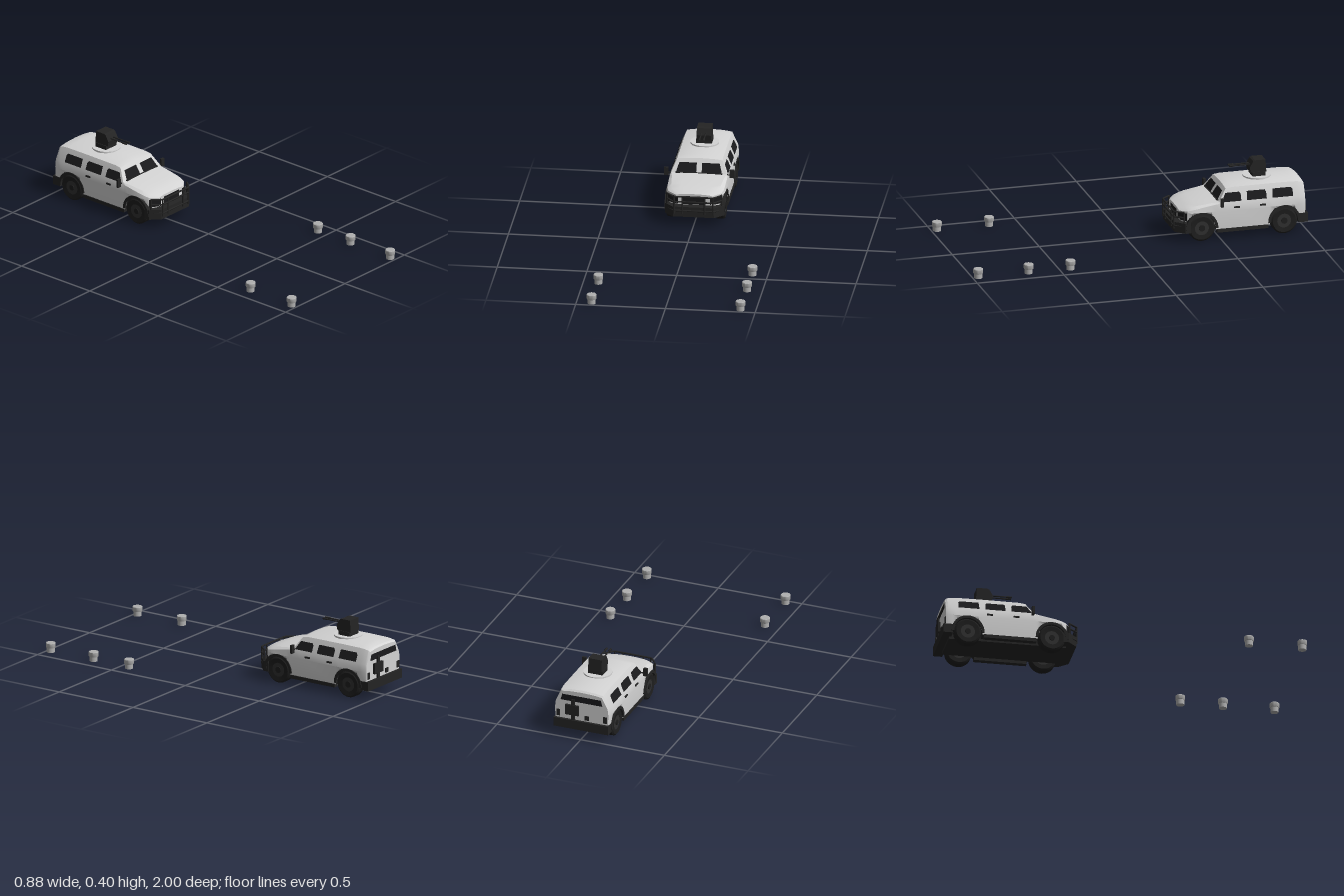
import * as THREE from 'three';
import { toCreasedNormals } from 'three/addons/utils/BufferGeometryUtils.js';

const mat = (name, color, side = THREE.FrontSide) => {
  const m = new THREE.MeshStandardMaterial({ color, side });
  m.name = name;
  return m;
};

export function createModel() {
  const paint = mat('bodyPaint', 0xd4d4d4);
  const trim = mat('blackTrim', 0x242424);
  const glass = mat('darkGlass', 0x1a1a1c, THREE.DoubleSide);
  const rubber = mat('tyreRubber', 0x1e1e1e);
  const hubMetal = mat('hubMetal', 0x303030);
  const postGrey = mat('postGrey', 0xb0b0b0);
  const root = new THREE.Group();
  const car = new THREE.Group();
  car.name = 'armouredCar';
  root.add(car);

  const add = (name, geo, material, x = 0, y = 0, z = 0, parent = car) => {
    const m = new THREE.Mesh(geo, material);
    m.name = name;
    m.position.set(x, y, z);
    parent.add(m);
    return m;
  };
  // Box given by its minimum and maximum corners
  const box = (name, material, a, b) => add(name,
    new THREE.BoxGeometry(b[0] - a[0], b[1] - a[1], b[2] - a[2]), material,
    (a[0] + b[0]) / 2, (a[1] + b[1]) / 2, (a[2] + b[2]) / 2);
  // Flat convex panel from its corners
  const panel = (name, pts, material = glass) => {
    const g = new THREE.BufferGeometry();
    g.setAttribute('position', new THREE.Float32BufferAttribute(pts.flat(), 3));
    const idx = [];
    for (let i = 1; i < pts.length - 1; i++) idx.push(0, i, i + 1);
    g.setIndex(idx);
    g.computeVertexNormals();
    return add(name, g, material);
  };
  const tube = (name, pts, r = 0.005) => {
    const path = new THREE.CurvePath();
    const v = pts.map(p => new THREE.Vector3(...p));
    for (let i = 1; i < v.length; i++) path.add(new THREE.LineCurve3(v[i - 1], v[i]));
    return add(name, new THREE.TubeGeometry(path, 24, r, 8), trim);
  };

  // Body shell: z, bottom y, waist x, shoulder x, y, roof edge x, y, centre y
  const stations = [
    [-0.275, 0.115, 0.10, 0.10, 0.170, 0.085, 0.174, 0.178],
    [-0.310, 0.108, 0.15, 0.147, 0.176, 0.125, 0.186, 0.191],
    [-0.335, 0.152, 0.160, 0.155, 0.182, 0.133, 0.193, 0.198],
    [-0.365, 0.160, 0.164, 0.159, 0.188, 0.138, 0.200, 0.204],
    [-0.445, 0.152, 0.165, 0.160, 0.202, 0.145, 0.211, 0.216],
    [-0.473, 0.060, 0.165, 0.160, 0.206, 0.150, 0.214, 0.219],
    [-0.490, 0.060, 0.165, 0.160, 0.208, 0.155, 0.217, 0.221],
    [-0.535, 0.060, 0.165, 0.160, 0.208, 0.127, 0.283, 0.291],
    [-0.570, 0.060, 0.165, 0.160, 0.208, 0.126, 0.288, 0.301],
    [-0.780, 0.060, 0.165, 0.160, 0.208, 0.126, 0.289, 0.304],
    [-0.805, 0.152, 0.165, 0.160, 0.208, 0.126, 0.289, 0.304],
    [-0.920, 0.152, 0.165, 0.160, 0.208, 0.126, 0.288, 0.302],
    [-0.947, 0.100, 0.165, 0.160, 0.208, 0.126, 0.286, 0.299],
    [-0.975, 0.100, 0.163, 0.158, 0.208, 0.125, 0.281, 0.292],
    [-0.985, 0.100, 0.160, 0.155, 0.208, 0.121, 0.274, 0.283],
  ];
  const pos = [], sides = [], under = [], N = 11;
  for (const [z, yb, xw, xs, ys, xr, yr, yc] of stations) {
    const half = [[xw - 0.005, yb], [xw, 0.165], [xs, ys], [xr, yr], [xr * 0.6, yr + (yc - yr) * 0.7]];
    const ring = [...half, [0, yc], ...half.map(([x, y]) => [-x, y]).reverse()];
    ring.forEach(([x, y]) => pos.push(x, y, z));
  }
  const last = (stations.length - 1) * N;
  for (let i = 0; i < stations.length - 1; i++) {
    for (let j = 0; j < N; j++) {
      const a = i * N + j, b = i * N + (j + 1) % N;
      (j === N - 1 ? under : sides).push(a, a + N, b, b, a + N, b + N);
    }
  }
  for (let j = 1; j < N - 1; j++) sides.push(0, j, j + 1, last, last + j + 1, last + j);
  const shell = new THREE.BufferGeometry();
  shell.setAttribute('position', new THREE.Float32BufferAttribute(pos, 3));
  shell.setIndex([...sides, ...under]);
  shell.addGroup(0, sides.length, 0);
  shell.addGroup(sides.length, under.length, 1);
  add('bodyShell', toCreasedNormals(shell, 0.45), [paint, trim]);

  // Underbody, bumpers and rear fittings
  box('chassis', trim, [-0.105, 0.045, -0.96], [0.105, 0.155, -0.30]);
  box('rearBumper', trim, [-0.163, 0.058, -1.0], [0.163, 0.11, -0.947]);
  const bump = new THREE.Shape([[-0.165, 0.325], [-0.165, 0.295], [-0.115, 0.245], [0.115, 0.245], [0.165, 0.295],
    [0.165, 0.325]].map(p => new THREE.Vector2(...p)));
  const bumperGeo = new THREE.ExtrudeGeometry(bump, { depth: 0.058, bevelEnabled: false });
  bumperGeo.rotateX(-Math.PI / 2).scale(1, 1, 1);
  // shape y maps to -z, extrusion maps to +y
  add('frontBumper', bumperGeo, trim, 0, 0.053, 0);
  box('rearCarrier', trim, [0.015, 0.14, -0.998], [0.095, 0.20, -0.984]);
  box('carrierHinge', trim, [0.04, 0.11, -0.995], [0.06, 0.235, -0.984]);
  box('rearLatch', trim, [-0.045, 0.12, -0.991], [-0.02, 0.145, -0.984]);
  panel('rearWindow', [[-0.125, 0.222, -0.988], [0.125, 0.222, -0.988], [0.115, 0.258, -0.988], [-0.115, 0.258, -0.988]]);

  // Grille and windscreen base
  panel('grille', [[-0.062, 0.118, -0.272], [0.062, 0.118, -0.272], [0.062, 0.166, -0.272], [-0.062, 0.166, -0.272]], glass);
  box('wiperStrip', trim, [-0.13, 0.216, -0.494], [0.13, 0.223, -0.484]);

  // Bull bar
  for (const y of [0.172, 0.142, 0.09]) {
    tube('bullBarRail', [[-0.152, y, -0.29], [-0.112, y, -0.242], [0.112, y, -0.242], [0.152, y, -0.29]]);
  }

  // Wheel parts shared by all four corners
  const tyreGeo = toCreasedNormals(new THREE.LatheGeometry([[0.04, -0.024], [0.066, -0.027], [0.075, -0.02],
    [0.075, 0.02], [0.066, 0.027], [0.04, 0.024]].map(p => new THREE.Vector2(...p)), 28), 0.6);
  tyreGeo.rotateZ(-Math.PI / 2);
  const rimGeo = new THREE.CylinderGeometry(0.042, 0.042, 0.044, 20).rotateZ(Math.PI / 2);
  const hubGeo = new THREE.CylinderGeometry(0.016, 0.018, 0.054, 12).rotateZ(Math.PI / 2);
  const arch = new THREE.Shape();
  arch.absarc(0, 0, 0.092, -0.05, Math.PI + 0.05, false);
  arch.absarc(0, 0, 0.077, Math.PI + 0.05, -0.05, true);
  const archGeo = new THREE.ExtrudeGeometry(arch, { depth: 0.03, bevelEnabled: false, curveSegments: 10 });
  archGeo.translate(0, 0, -0.015).rotateY(Math.PI / 2);

  // Window spans along each side: bottom start, top start, end
  const windows = [[-0.503, -0.530, -0.617], [-0.65, -0.653, -0.763], [-0.797, -0.80, -0.915]];
  const sideX = y => 0.1635 - (y - 0.208) * 0.435;

  for (const s of [-1, 1]) {
    for (const z of [-0.39, -0.863]) {
      const wheel = new THREE.Group();
      wheel.name = z > -0.5 ? 'frontWheel' : 'rearWheel';
      wheel.position.set(s * 0.136, 0.075, z);
      car.add(wheel);
      add('tyre', tyreGeo, rubber, 0, 0, 0, wheel);
      add('rim', rimGeo, hubMetal, 0, 0, 0, wheel);
      add('hub', hubGeo, rubber, 0, 0, 0, wheel);
      add('wheelArch', archGeo, trim, s * 0.153, 0.075, z);
    }
    for (const [b, t, e] of windows) {
      const lo = 0.215, hi = 0.262;
      panel('sideWindow', [[s * sideX(lo), lo, b], [s * sideX(lo), lo, e], [s * sideX(0.25), 0.25, e],
        [s * sideX(hi), hi, e + 0.008], [s * sideX(hi), hi, t]]);
    }
    for (const z of [-0.59, -0.74]) {
      add('doorHandle', new THREE.BoxGeometry(0.008, 0.009, 0.032), trim, s * 0.165, 0.182, z);
    }
    // Windscreen halves on the raked front
    const rake = (x, y) => [s * x, y, -0.485 - (y - 0.217) * 0.66];
    panel('windscreen', [rake(0.015, 0.222), rake(0.126, 0.222), rake(0.124, 0.235), rake(0.112, 0.269), rake(0.015, 0.269)]);
    // Headlight on the chamfered corner
    panel('headlight', [[s * 0.088, 0.12, -0.271], [s * 0.101, 0.12, -0.271], [s * 0.149, 0.12, -0.306],
      [s * 0.149, 0.165, -0.306], [s * 0.101, 0.165, -0.271], [s * 0.088, 0.165, -0.271]]);
    for (const [x, z] of [[0.062, -0.242], [0.108, -0.242], [0.152, -0.29]]) {
      tube('bullBarUpright', [[s * x, 0.072, z], [s * x, 0.175, z]]);
    }
    add('sideSkirt', new THREE.BoxGeometry(0.03, 0.02, 0.295), trim, s * 0.15, 0.052, -0.625);
    add('rearLight', new THREE.BoxGeometry(0.02, 0.038, 0.008), trim, s * 0.14, 0.14, -0.986);
    add('mirror', new THREE.BoxGeometry(0.024, 0.047, 0.014), trim, s * 0.183, 0.22, -0.5);
    add('mirrorArm', new THREE.BoxGeometry(0.03, 0.006, 0.006), trim, s * 0.165, 0.212, -0.5);
    // Twin barrels
    const barrel = add('gunBarrel', new THREE.CylinderGeometry(0.004, 0.004, 0.14, 8), trim, s * 0.012, 0.371, -0.66);
    barrel.rotation.x = Math.PI / 2;
    const muzzle = add('muzzle', new THREE.CylinderGeometry(0.006, 0.006, 0.03, 8), trim, s * 0.012, 0.371, -0.604);
    muzzle.rotation.x = Math.PI / 2;
  }

  // Roof turret
  add('turretRing', new THREE.CylinderGeometry(0.08, 0.08, 0.014, 32), paint, 0, 0.301, -0.75);
  box('turretBase', trim, [-0.044, 0.306, -0.79], [0.044, 0.332, -0.715]);
  const profile = new THREE.Shape([[0.705, 0.33], [0.70, 0.36], [0.72, 0.395], [0.73, 0.40], [0.79, 0.40],
    [0.795, 0.33]].map(p => new THREE.Vector2(...p)));
  const housing = new THREE.ExtrudeGeometry(profile, { depth: 0.08, bevelEnabled: false });
  housing.translate(0, 0, -0.04).rotateY(Math.PI / 2);
  add('turretHousing', housing, trim);

  // Marker posts
  for (const [x, z] of [[-0.415, 0.67], [-0.415, 0.97], [0.415, 0.44], [0.415, 0.68], [0.415, 0.97]]) {
    const post = new THREE.Group();
    post.name = 'markerPost';
    post.position.set(x, 0, z);
    root.add(post);
    add('postStem', new THREE.CylinderGeometry(0.0225, 0.0225, 0.03, 24), postGrey, 0, 0.015, 0, post);
    const cap = [[0, 0.027], [0.026, 0.027], [0.0275, 0.03], [0.0275, 0.052], [0.025, 0.055], [0, 0.055]];
    add('postCap', toCreasedNormals(new THREE.LatheGeometry(cap.map(p => new THREE.Vector2(...p)), 24), 0.6),
      postGrey, 0, 0, 0, post);
  }
  return root;
}
